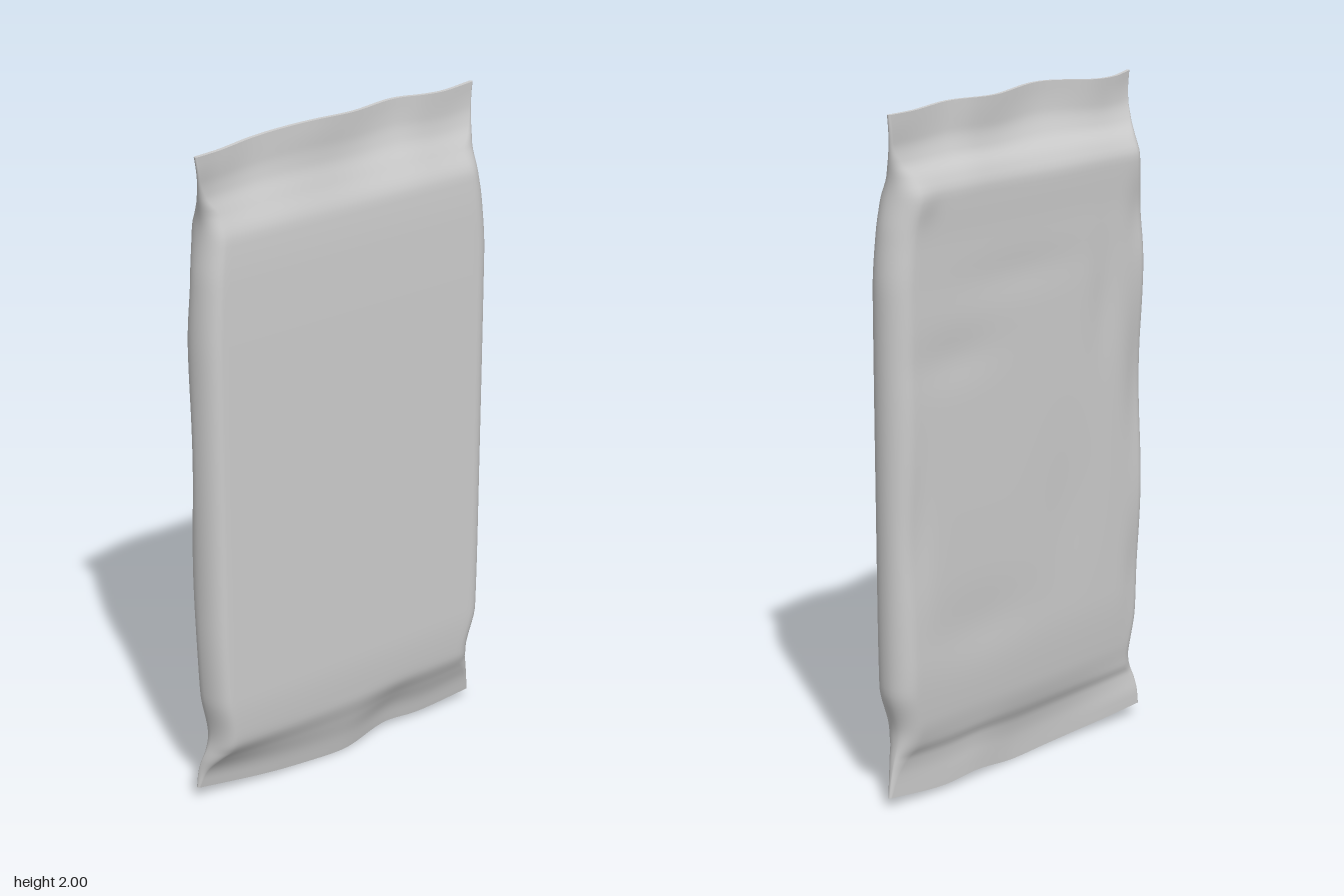
import * as THREE from 'three';

// Smooth, non-overshooting curve through [position, value] pairs
function curve(pts) {
  const n = pts.length;
  const slope = (i) => (pts[i + 1][1] - pts[i][1]) / (pts[i + 1][0] - pts[i][0]);
  const tangent = pts.map((p, i) => {
    if (i === 0) return slope(0);
    if (i === n - 1) return slope(n - 2);
    const a = slope(i - 1), b = slope(i);
    return a * b <= 0 ? 0 : (2 * a * b) / (a + b);
  });
  return (x) => {
    x = Math.min(Math.max(x, pts[0][0]), pts[n - 1][0]);
    let i = 0;
    while (i < n - 2 && x > pts[i + 1][0]) i++;
    const h = pts[i + 1][0] - pts[i][0], t = (x - pts[i][0]) / h, t2 = t * t, t3 = t2 * t;
    return (2 * t3 - 3 * t2 + 1) * pts[i][1] + (t3 - 2 * t2 + t) * h * tangent[i]
      + (3 * t2 - 2 * t3) * pts[i + 1][1] + (t3 - t2) * h * tangent[i + 1];
  };
}

// Outline in front view, by height
const leftX = curve([[0, 0.505], [0.1, 0.49], [0.22, 0.475], [0.36, 0.505], [0.6, 0.508], [1.5, 0.51], [1.66, 0.497], [1.8, 0.478], [1.88, 0.486], [2, 0.5]]);
const rightX = curve([[0, -0.5], [0.1, -0.49], [0.22, -0.474], [0.36, -0.495], [0.6, -0.504], [1.4, -0.502], [1.62, -0.492], [1.78, -0.475], [1.88, -0.492], [2, -0.517]]);
// Depth of the front and back faces, by height
const frontZ = curve([[0, 0.006], [0.06, 0.02], [0.13, 0.043], [0.21, 0.068], [0.36, 0.077], [0.8, 0.075], [1.6, 0.07], [1.74, 0.064], [1.82, 0.036], [1.88, 0.014], [1.93, 0.007], [2, 0.006]]);
const backZ = curve([[0, 0.006], [0.07, 0.009], [0.13, 0.018], [0.18, 0.038], [0.26, 0.054], [0.45, 0.066], [1.0, 0.069], [1.6, 0.069], [1.76, 0.073], [1.81, 0.056], [1.86, 0.024], [1.92, 0.008], [2, 0.006]]);
// Waviness of the two seals, by x
const topWave = curve([[-0.52, 0.045], [-0.42, 0.018], [-0.3, 0.001], [-0.1, 0.018], [0.18, -0.016], [0.29, 0.0], [0.5, -0.026]]);
const bottomWave = curve([[-0.5, -0.04], [-0.38, -0.026], [-0.2, -0.006], [0, 0.003], [0.2, -0.014], [0.33, -0.008], [0.5, 0.004]]);
const topEdge = curve([[-0.52, -0.014], [-0.42, -0.02], [-0.11, 0], [0.08, -0.011], [0.22, -0.006], [0.4, -0.017], [0.5, -0.015]]);
const bottomEdge = curve([[-0.5, 0.044], [-0.3, 0.022], [-0.12, 0.009], [0, 0.003], [0.19, 0.026], [0.3, 0.018], [0.5, 0.035]]);

// Dents in the back film: x, y, x radius, y radius, depth
const dents = [
  [-0.47, 1.1, 0.06, 0.22, 0.022], [-0.47, 0.5, 0.05, 0.16, 0.014], [-0.46, 1.6, 0.05, 0.1, 0.012],
  [0.3, 1.3, 0.16, 0.07, 0.006], [-0.3, 1.35, 0.05, 0.16, 0.006], [0.05, 1.5, 0.25, 0.06, 0.004],
  [0.2, 0.5, 0.2, 0.1, 0.006], [-0.15, 0.75, 0.1, 0.2, 0.004], [0.45, 0.8, 0.05, 0.2, 0.01],
  [0.42, 1.75, 0.05, 0.05, -0.008],
];
const backDent = (x, y) => dents.reduce((s, [cx, cy, rx, ry, d]) =>
  s + d * Math.exp(-(((x - cx) / rx) ** 2) - ((y - cy) / ry) ** 2), 0);

const ARC = 8, FLAT = 48, HALF = ARC * 2 + FLAT, RING = HALF * 2, ROWS = 110;

// Point k of a ring: rounded sides joined by flat front and back
function ringPoint(k, v) {
  const isFront = k <= HALF, i = isFront ? k : RING - k;
  const x0 = rightX(v), x1 = leftX(v);
  const depth = isFront ? frontZ(v) : backZ(v);
  const r0 = Math.min(0.045, (frontZ(v) + backZ(v)) / 2), r1 = r0 * 1.3;
  let x, s = 1;
  if (i < ARC) {
    const a = (i / ARC) * Math.PI / 2;
    x = x0 + r0 * (1 - Math.cos(a));
    s = Math.sin(a);
  } else if (i > HALF - ARC) {
    const a = ((HALF - i) / ARC) * Math.PI / 2;
    x = x1 - r1 * (1 - Math.cos(a));
    s = Math.sin(a);
  } else {
    x = THREE.MathUtils.lerp(x0 + r0, x1 - r1, (i - ARC) / FLAT);
  }
  let z = s * (isFront ? depth : -depth + backDent(x, v) * Math.min(1, depth / 0.06));
  const top = THREE.MathUtils.smoothstep(v, 1.74, 1.98);
  const bottom = 1 - THREE.MathUtils.smoothstep(v, 0.03, 0.24);
  z += topWave(x) * top + bottomWave(x) * bottom;
  const y = v + topEdge(x) * top + bottomEdge(x) * bottom;
  return [x, y, z];
}

function wrapperGeometry() {
  const pos = [], index = [];
  for (let j = 0; j <= ROWS; j++) {
    // Rows are denser towards the seals
    const t = j / ROWS, v = 2 * (t - 0.1 * Math.sin(2 * Math.PI * t));
    for (let k = 0; k < RING; k++) pos.push(...ringPoint(k, v));
  }
  for (let j = 0; j < ROWS; j++) {
    for (let k = 0; k < RING; k++) {
      const a = j * RING + k, b = j * RING + (k + 1) % RING;
      index.push(a, b, b + RING, a, b + RING, a + RING);
    }
  }
  // Thin cut edges closing both seals
  for (const v of [0, 2]) {
    const base = pos.length / 3;
    for (let k = 0; k < RING; k++) pos.push(...ringPoint(k, v));
    for (let k = 0; k < HALF; k++) {
      const a = base + k, b = base + k + 1;
      const c = base + RING - k - 1, d = base + (RING - k) % RING;
      if (v > 0) index.push(a, b, c, a, c, d);
      else index.push(a, c, b, a, d, c);
    }
  }
  const geo = new THREE.BufferGeometry();
  geo.setAttribute('position', new THREE.Float32BufferAttribute(pos, 3));
  geo.setIndex(index);
  geo.computeVertexNormals();
  return geo;
}

export function createModel() {
  const group = new THREE.Group();
  group.name = 'sealedPacket';
  const wrapper = new THREE.Mesh(wrapperGeometry(), new THREE.MeshStandardMaterial({ color: 0xcccccc }));
  wrapper.name = 'wrapper';
  group.add(wrapper);
  return group;
}
